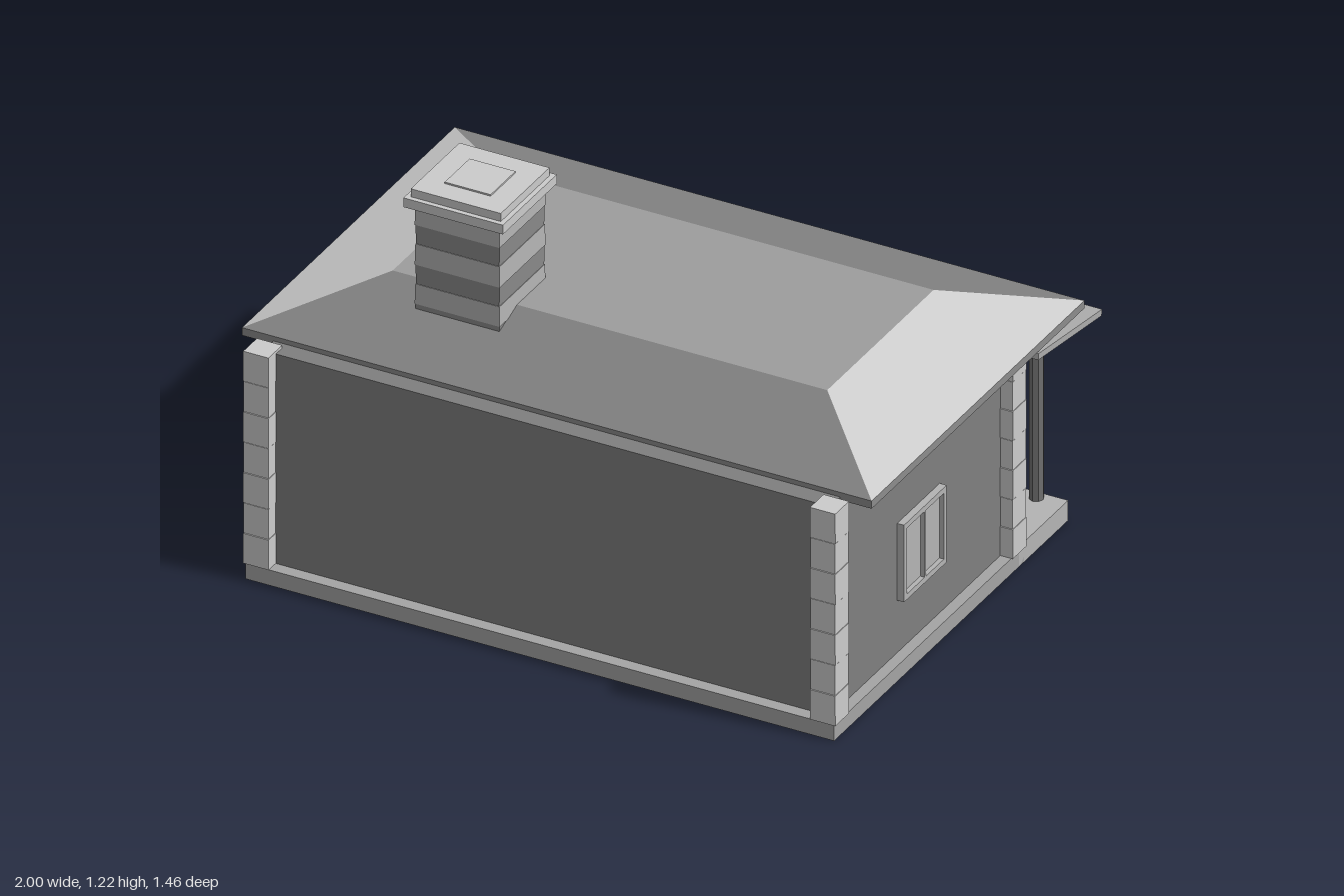
import * as THREE from 'three';

const paint = (color) => new THREE.MeshStandardMaterial({ color, flatShading: true });
const plain = paint(0xcccccc);
const stone = paint(0xbcbcbc);
const trim = paint(0xb4b4b4);
const slab = paint(0xa4a4a4);
const wall = paint(0x7f7f7f);
const darkBrick = paint(0x8a8a8a);
const eave = paint(0x8c8c8c);
const deck = paint(0x9d9d9d);
const slope = paint(0x828282);
const sheet = paint(0xacacac);
const timber = paint(0x707070);

export function createModel() {
  const house = new THREE.Group();
  house.name = 'house';

  const add = (name, geometry, material, parent = house) => {
    const mesh = new THREE.Mesh(geometry, material);
    mesh.name = name;
    parent.add(mesh);
    return mesh;
  };

  // Box given by its lower and upper corner
  const block = (name, material, x0, x1, y0, y1, z0, z1, parent) => {
    const mesh = add(name, new THREE.BoxGeometry(x1 - x0, y1 - y0, z1 - z0), material, parent);
    mesh.position.set((x0 + x1) / 2, (y0 + y1) / 2, (z0 + z1) / 2);
    return mesh;
  };

  // Box whose top face is scaled in x and z
  const taperedBox = (w, h, d, topX, topZ) => {
    const geometry = new THREE.BoxGeometry(w, h, d);
    const p = geometry.attributes.position;
    for (let i = 0; i < p.count; i++) {
      if (p.getY(i) > 0) {
        p.setX(i, p.getX(i) * topX);
        p.setZ(i, p.getZ(i) * topZ);
      }
    }
    geometry.computeVertexNormals();
    return geometry;
  };

  // Foundation, walls, porch floor and step
  block('foundation', slab, -0.935, 0.935, 0, 0.05, -0.39, 0.725);
  block('walls', wall, -0.9, 0.9, 0.05, 0.73, -0.36, 0.685);
  block('porchFloor', trim, -0.935, 0.935, 0, 0.065, -0.65, -0.36);
  block('porchStep', slab, -0.26, 0.26, 0, 0.033, -0.703, -0.65);

  // Corner stones, alternating slightly in size
  const courses = 7;
  for (const side of [-1, 1]) {
    for (const [z, top] of [[0.688, 0.74], [-0.355, 0.72]]) {
      const corner = new THREE.Group();
      corner.name = 'cornerStones';
      house.add(corner);
      const h = (top - 0.05) / courses;
      for (let i = 0; i < courses; i++) {
        const s = i % 2 ? 0.079 : 0.081;
        const mesh = add('cornerStone', taperedBox(s, h - 0.002, s, 0.99, 0.99), stone, corner);
        mesh.position.set(side * 0.9, 0.05 + h * (i + 0.5), z);
      }
    }
  }

  // Hipped roof: light ends, darker flat top and long slopes, thin eave slab
  block('eaves', eave, -1, 1, 0.72, 0.745, -0.625, 0.625);
  const roof = add('roof', taperedBox(2, 0.11, 1.25, 0.69, 0.5),
    [stone, stone, deck, eave, slope, slope]);
  roof.position.y = 0.8;

  // Chimney of alternating light and dark courses with a stepped cap
  const chimney = new THREE.Group();
  chimney.name = 'chimney';
  chimney.position.set(-0.43, 0, 0.28);
  house.add(chimney);
  const levels = [0.76, 0.836, 0.9, 0.963, 1.03, 1.092, 1.155];
  for (let i = 0; i < levels.length - 1; i++) {
    const h = levels[i + 1] - levels[i];
    const light = i % 2 === 1;
    const course = light
      ? taperedBox(0.27, h, 0.27, 0.99, 0.99)
      : taperedBox(0.264, h, 0.264, 1.01, 1.01);
    add('chimneyCourse', course, light ? trim : darkBrick, chimney).position.y = levels[i] + h / 2;
  }
  for (const [half, y0, y1] of [[0.158, 1.155, 1.185], [0.143, 1.185, 1.211], [0.073, 1.211, 1.216]]) {
    block('chimneyCap', plain, -half, half, y0, y1, -half, half, chimney);
  }

  // Frame with rectangular openings, standing out along +z
  const frame = (w, h, openings, depth) => {
    const rect = (Type, x0, x1, y0, y1) => new Type([
      new THREE.Vector2(x0, y0), new THREE.Vector2(x1, y0),
      new THREE.Vector2(x1, y1), new THREE.Vector2(x0, y1)]);
    const shape = rect(THREE.Shape, -w / 2, w / 2, 0, h);
    shape.holes = openings.map((o) => rect(THREE.Path, ...o));
    return new THREE.ExtrudeGeometry(shape, { depth, bevelEnabled: false });
  };

  // Two-pane windows on both ends and beside the door
  const addWindow = (x, z, turn, w) => {
    const group = new THREE.Group();
    group.name = 'window';
    group.position.set(x, 0.22, z);
    group.rotation.y = turn;
    house.add(group);
    const e = w / 2 - 0.016;
    add('windowFrame', frame(w, 0.25, [[-e, -0.004, 0.018, 0.232], [0.004, e, 0.018, 0.232]], 0.022), trim, group);
    block('windowPane', trim, -e, e, 0.018, 0.232, 0, 0.008, group);
  };
  for (const side of [-1, 1]) {
    addWindow(side * 0.9, 0.165, side * Math.PI / 2, 0.25);
    addWindow(side * 0.555, -0.36, Math.PI, 0.26);
  }

  // Door under the porch
  const door = new THREE.Group();
  door.name = 'door';
  door.position.set(0, 0.065, -0.36);
  door.rotation.y = Math.PI;
  house.add(door);
  add('doorFrame', frame(0.3, 0.425, [[-0.13, 0.13, 0.005, 0.405]], 0.022), trim, door);
  block('doorPanel', trim, -0.13, 0.13, 0.005, 0.405, 0, 0.01, door);

  // Sloping porch roof on five posts
  const porchRoof = add('porchRoof', new THREE.BoxGeometry(2, 0.02, 0.376), sheet);
  porchRoof.position.set(0, 0.678, -0.541);
  porchRoof.rotation.x = -0.133;
  for (let i = -2; i <= 2; i++) {
    const x = i * 0.425;
    const post = add('porchPost', new THREE.CylinderGeometry(0.022, 0.022, 0.565, 8), timber);
    post.position.set(x, 0.3475, -0.62);
    block('postCap', trim, x - 0.023, x + 0.023, 0.63, 0.662, -0.645, -0.597);
  }

  return house;
}
